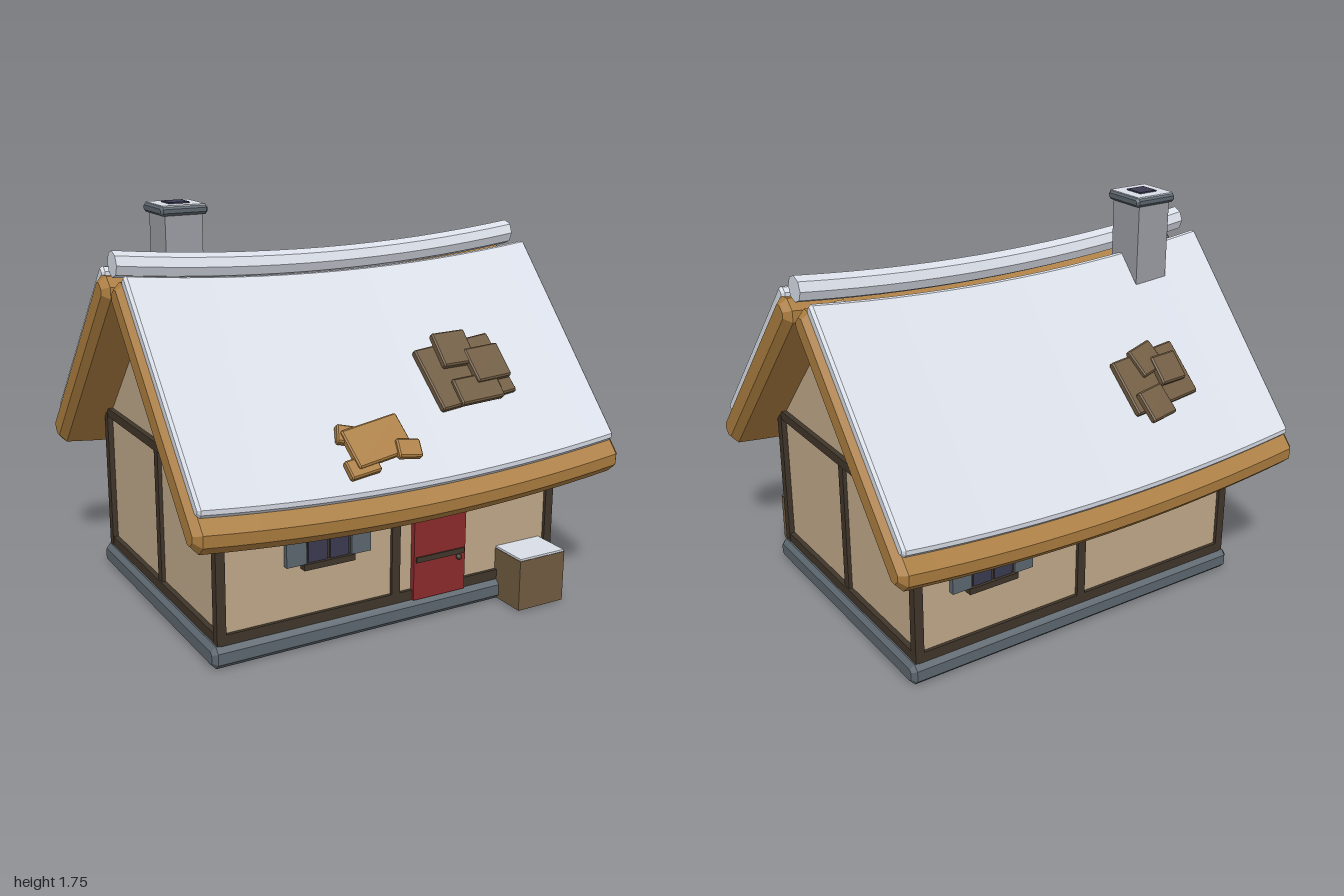
import * as THREE from 'three';

const mat = (name, color) => Object.assign(new THREE.MeshStandardMaterial({ color }), { name });
const snow = mat('snow', 0xe6ebf5);
const thatch = mat('thatch', 0xab7d3f);
const plaster = mat('plaster', 0xbfa888);
const timber = mat('darkTimber', 0x40362a);
const slate = mat('slate', 0x5c666e);
const stone = mat('chimneyStone', 0x9a9ca2);
const red = mat('redPaint', 0x8c2a2c);
const glass = mat('darkGlass', 0x3a3a50);
const plank = mat('weatheredPlank', 0x705b40);

const PITCH = THREE.MathUtils.degToRad(48);
const sag = (x) => 0.06 * Math.max(0, 1 - x * x);

function add(parent, name, geometry, material, x = 0, y = 0, z = 0) {
  const mesh = new THREE.Mesh(geometry, material);
  mesh.name = name;
  mesh.position.set(x, y, z);
  parent.add(mesh);
  return mesh;
}

// Box given by its lower and upper corners
function block(parent, name, material, x0, x1, y0, y1, z0, z1) {
  return add(parent, name, new THREE.BoxGeometry(x1 - x0, y1 - y0, z1 - z0), material,
    (x0 + x1) / 2, (y0 + y1) / 2, (z0 + z1) / 2);
}

// Box with every edge chamfered, divided along x
function bevelBox(w, h, d, b, steps = 1) {
  const u = d / 2 - b, v = h / 2 - b, c = b * 0.58;
  const pts = [[u, -v + c], [u, v - c], [u - c, v], [-u + c, v],
    [-u, v - c], [-u, -v + c], [-u + c, -v], [u - c, -v]];
  const geo = new THREE.ExtrudeGeometry(new THREE.Shape(pts.map((p) => new THREE.Vector2(...p))), {
    depth: w - 2 * b, steps, bevelEnabled: true, bevelThickness: b, bevelSize: b, bevelSegments: 1,
  });
  geo.translate(0, 0, -(w - 2 * b) / 2);
  geo.rotateY(Math.PI / 2);
  return geo;
}

// Lower the middle of a part; tilt is the pitch of the space it is built in
function bend(geometry, tilt = 0) {
  const geo = geometry.index ? geometry.toNonIndexed() : geometry;
  const p = geo.attributes.position;
  for (let i = 0; i < p.count; i++) {
    const s = sag(p.getX(i));
    p.setY(i, p.getY(i) - s * Math.cos(tilt));
    p.setZ(i, p.getZ(i) + s * Math.sin(tilt));
  }
  geo.computeVertexNormals();
  return geo;
}

// One roof slope: local y points out of the roof, local z runs down it
function roofSlope(name) {
  const slope = new THREE.Group();
  slope.name = name;
  slope.rotation.x = PITCH;
  const thatchGeo = bevelBox(2, 0.13, 1.145, 0.03, 16);
  thatchGeo.translate(0, 1.015, -0.4725);
  add(slope, 'thatchLayer', bend(thatchGeo, PITCH), thatch);
  const snowGeo = bevelBox(1.95, 0.055, 1.03, 0.012, 16);
  snowGeo.translate(0, 1.0905, -0.52);
  add(slope, 'snowLayer', bend(snowGeo, PITCH), snow);
  return slope;
}

// Boards nailed on a slope: [x, distance down slope, width, length, turn, height]
function patch(slope, name, material, boards) {
  const g = new THREE.Group();
  g.name = name;
  for (const [x, t, w, l, turn, n] of boards) {
    add(g, 'board', bevelBox(w, 0.035, l, 0.006), material, x, n, t).rotation.y = turn;
  }
  slope.add(g);
}

// Window with shutters, built facing +z on the wall surface
function shutteredWindow(name) {
  const g = new THREE.Group();
  g.name = name;
  block(g, 'windowFrame', timber, -0.105, 0.105, 0.36, 0.575, 0, 0.016);
  for (const s of [-1, 1]) {
    add(g, 'pane', new THREE.BoxGeometry(0.088, 0.195, 0.008), glass, s * 0.05, 0.468, 0.019);
    add(g, 'shutter', new THREE.BoxGeometry(0.09, 0.2, 0.025), slate, s * 0.15, 0.468, 0.016);
  }
  block(g, 'windowSill', timber, -0.118, 0.118, 0.343, 0.37, 0, 0.035);
  block(g, 'windowLintel', timber, -0.118, 0.118, 0.562, 0.588, 0, 0.03);
  return g;
}

export function createModel() {
  const house = new THREE.Group();
  house.name = 'cottage';

  // Plinth and plastered walls
  add(house, 'plinth', bevelBox(1.7, 0.095, 1.27, 0.02), slate, 0, 0.0475, 0);
  block(house, 'walls', plaster, -0.8, 0.8, 0.08, 0.75, -0.6, 0.6);
  const gable = new THREE.Shape([new THREE.Vector2(-0.585, 0.75),
    new THREE.Vector2(0.585, 0.75), new THREE.Vector2(0, 1.45)]);
  for (const s of [-1, 1]) {
    const geo = new THREE.ExtrudeGeometry(gable, { depth: 0.04, bevelEnabled: false });
    geo.translate(0, 0, -0.02);
    geo.rotateY(Math.PI / 2);
    add(house, 'gable', geo, plaster, s * 0.78, 0, 0);
  }

  // Timber frame
  const frame = new THREE.Group();
  frame.name = 'timberFrame';
  house.add(frame);
  for (const s of [-1, 1]) {
    for (const q of [-1, 1]) {
      add(frame, 'cornerPost', new THREE.BoxGeometry(0.04, 0.65, 0.04), timber, s * 0.805, 0.42, q * 0.595);
    }
    add(frame, 'longMiddlePost', new THREE.BoxGeometry(0.04, 0.6, 0.03), timber, 0, 0.41, s * 0.6);
    add(frame, 'sideMiddlePost', new THREE.BoxGeometry(0.03, 0.62, 0.04), timber, s * 0.802, 0.43, 0);
    for (const [y, h] of [[0.115, 0.045], [0.75, 0.04]]) {
      add(frame, 'sideBeam', new THREE.BoxGeometry(0.036, h, 1.22), timber, s * 0.805, y, 0);
      add(frame, 'longBeam', new THREE.BoxGeometry(1.62, h, 0.036), timber, 0, y - (h === 0.04 ? 0.05 : 0), s * 0.597);
    }
  }

  // Door
  const door = new THREE.Group();
  door.name = 'door';
  house.add(door);
  block(door, 'doorPanel', red, 0.083, 0.345, 0.092, 0.515, 0.6, 0.625);
  for (const y of [0.275, 0.463]) block(door, 'doorStrap', timber, 0.092, 0.336, y - 0.012, y + 0.012, 0.62, 0.632);
  block(door, 'doorLintel', timber, 0.05, 0.38, 0.517, 0.56, 0.6, 0.635);
  add(door, 'doorKnob', new THREE.SphereGeometry(0.013, 8, 6), timber, 0.308, 0.25, 0.632);

  // Windows
  const front = shutteredWindow('frontWindow');
  front.position.set(-0.328, 0, 0.6);
  const back = shutteredWindow('backWindow');
  back.position.set(0.46, 0, -0.6);
  back.rotation.y = Math.PI;
  house.add(front, back);

  // Roof slopes with board repairs
  const frontSlope = roofSlope('frontRoof');
  patch(frontSlope, 'darkRepair', plank, [
    [0.375, -0.415, 0.39, 0.29, 0.1, 1.097], [0.345, -0.515, 0.165, 0.16, 0.02, 1.125],
    [0.475, -0.425, 0.175, 0.16, 0.06, 1.13], [0.39, -0.32, 0.22, 0.12, 0.05, 1.115]]);
  patch(frontSlope, 'paleRepair', thatch, [
    [-0.165, -0.165, 0.27, 0.17, 0.15, 1.112], [-0.26, -0.21, 0.13, 0.08, -0.3, 1.1],
    [-0.26, -0.075, 0.14, 0.08, 0.12, 1.1], [-0.05, -0.105, 0.105, 0.08, -0.15, 1.128]]);
  house.add(frontSlope);

  const backRoof = new THREE.Group();
  backRoof.name = 'backRoof';
  backRoof.rotation.y = Math.PI;
  const backSlope = roofSlope('backSlope');
  patch(backSlope, 'backRepair', plank, [
    [0.41, -0.4, 0.34, 0.25, 0.1, 1.1], [0.345, -0.285, 0.13, 0.14, 0.15, 1.13],
    [0.475, -0.42, 0.13, 0.13, 0.05, 1.13], [0.395, -0.485, 0.13, 0.13, 0.25, 1.12]]);
  backRoof.add(backSlope);
  house.add(backRoof);

  // Snowy ridge log
  const ridge = new THREE.CylinderGeometry(0.055, 0.055, 1.94, 8, 16);
  ridge.rotateZ(Math.PI / 2);
  ridge.translate(0, 1.535, 0);
  add(house, 'ridgeCap', bend(ridge), snow);

  // Chimney
  const chimney = new THREE.Group();
  chimney.name = 'chimney';
  chimney.position.set(-0.624, 0, -0.165);
  house.add(chimney);
  block(chimney, 'chimneyShaft', stone, -0.083, 0.083, 1.15, 1.71, -0.088, 0.088);
  add(chimney, 'chimneyCap', bevelBox(0.21, 0.04, 0.21, 0.01), slate, 0, 1.717, 0);
  block(chimney, 'chimneySnow', snow, -0.096, 0.096, 1.733, 1.74, -0.096, 0.096);
  block(chimney, 'flue', glass, -0.045, 0.045, 1.735, 1.746, -0.045, 0.045);

  // Crate by the wall
  block(house, 'crate', plank, 0.527, 0.767, 0.006, 0.235, 0.56, 0.78);
  block(house, 'crateSnow', snow, 0.53, 0.764, 0.235, 0.244, 0.563, 0.777);

  return house;
}
